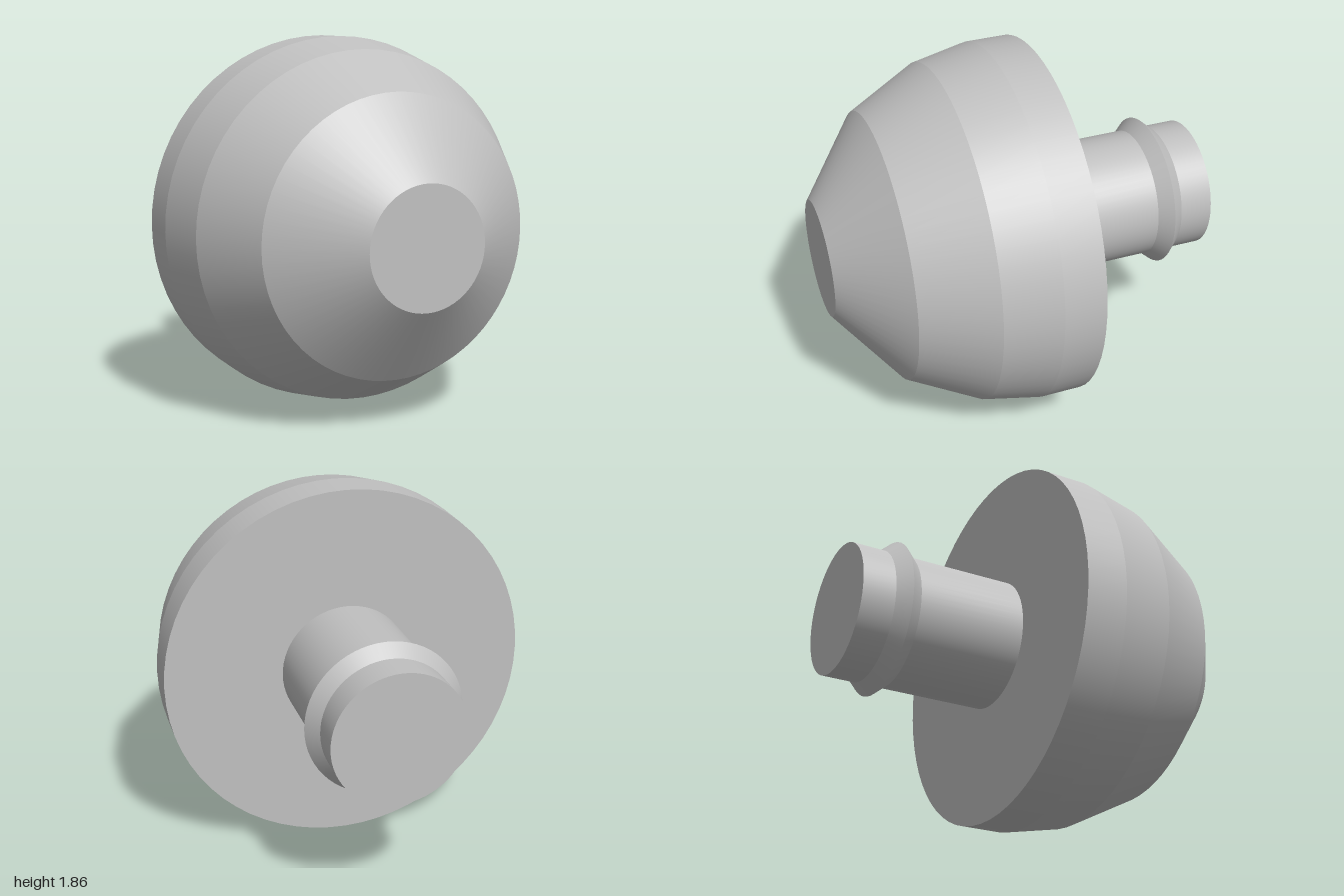
import * as THREE from 'three';
import { mergeGeometries } from 'three/addons/utils/BufferGeometryUtils.js';

const SEGMENTS = 64;
const CENTRE_Y = 0.932;

// Turns a [radius, z] profile (back to front) into bands that are smooth around
// the axis and sharp where they meet.
function turned(profile) {
  const bands = [];
  for (let i = 0; i < profile.length - 1; i++) {
    const pair = [profile[i], profile[i + 1]].map(([r, z]) => new THREE.Vector2(r, z));
    bands.push(new THREE.LatheGeometry(pair, SEGMENTS));
  }
  return mergeGeometries(bands).rotateX(Math.PI / 2);
}

export function createModel() {
  const model = new THREE.Group();
  model.name = 'knob';
  const grey = new THREE.MeshStandardMaterial({ color: 0xc0c0c0 });
  grey.name = 'grey';

  const add = (name, profile) => {
    const mesh = new THREE.Mesh(turned(profile), grey);
    mesh.name = name;
    mesh.position.y = CENTRE_Y;
    model.add(mesh);
  };

  // Domed head: flat back, straight rim, three tapering bands, flat nose
  add('head', [
    [0.33, -0.145], [0.932, -0.145], [0.932, 0.067], [0.875, 0.348],
    [0.69, 0.70], [0.298, 1], [0, 1],
  ]);

  // Stem with a pointed retaining ridge near its end
  add('stem', [
    [0, -1], [0.332, -1], [0.332, -0.832], [0.39, -0.767],
    [0.332, -0.70], [0.332, -0.145],
  ]);

  return model;
}
